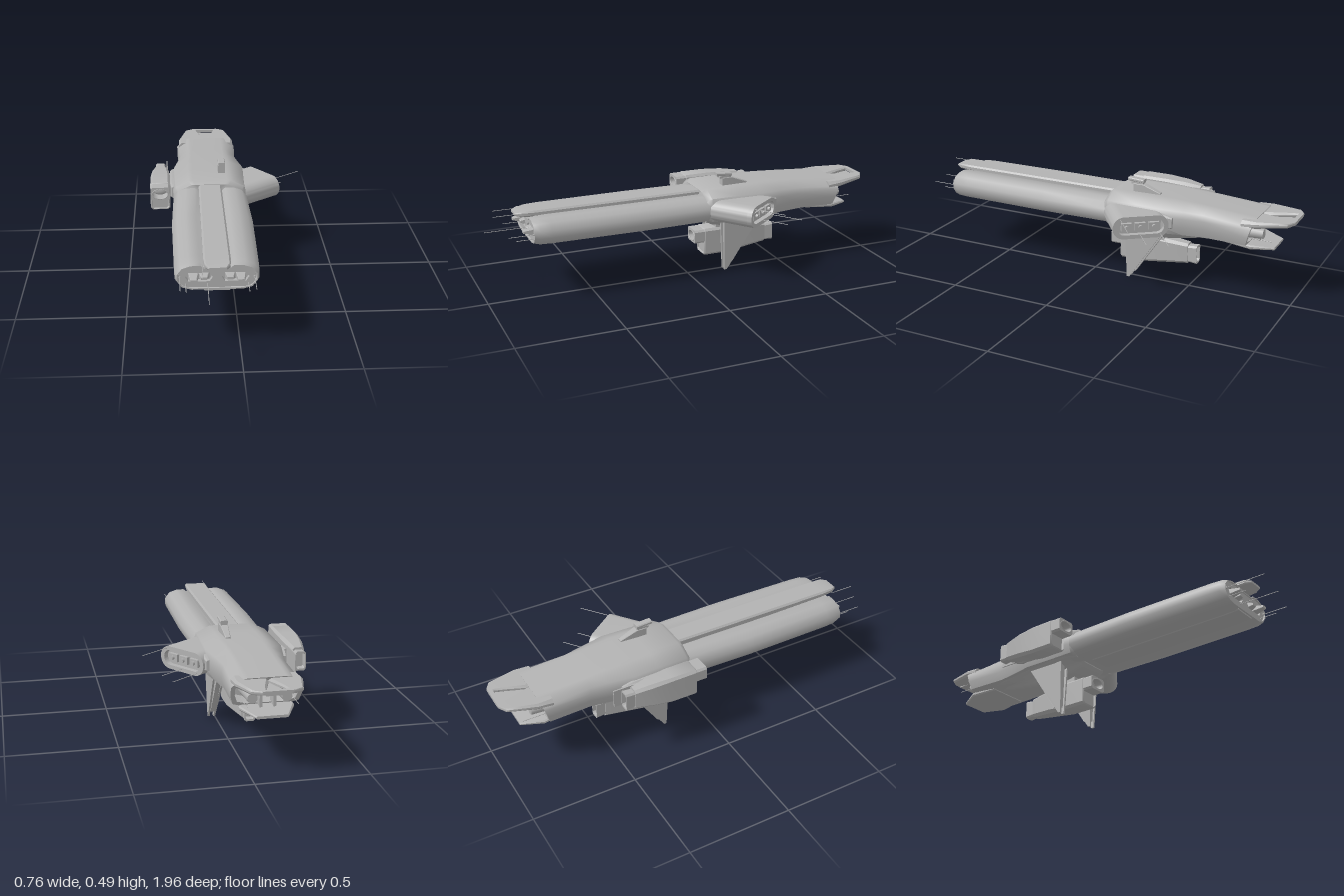
import * as THREE from 'three';
import { toCreasedNormals } from 'three/addons/utils/BufferGeometryUtils.js';

const grey = new THREE.MeshStandardMaterial({ color: 0xb2b2b2 });
grey.name = 'hull grey';

function add(parent, name, geo, x = 0, y = 0, z = 0) {
  const m = new THREE.Mesh(geo, grey);
  m.name = name;
  m.position.set(x, y, z);
  parent.add(m);
  return m;
}
const box = (p, name, w, h, d, x, y, z) => add(p, name, new THREE.BoxGeometry(w, h, d), x, y, z);
function rod(p, name, r, len, x, y, z, r2 = r, sides = 8) { // along z
  const g = new THREE.CylinderGeometry(r, r2, len, sides).rotateX(Math.PI / 2);
  return add(p, name, g, x, y, z);
}

// Mirrors a right-hand half outline (bottom to top) into a full ring; z may lean with y
function ring(half, z, sx = 1, sy = 1, lean = 0) {
  const mid = 0.33;
  const full = half.concat(half.slice().reverse().map(([x, y]) => [-x, y]));
  return full.map(([x, y]) => {
    const yy = mid + (y - mid) * sy;
    return new THREE.Vector3(x * sx, yy, z - (yy - 0.26) * lean);
  });
}

// Skins rings ordered front to back, closing both ends
function loft(rings, crease = 0.7) {
  const pos = [], n = rings[0].length;
  const tri = (...v) => v.forEach(p => pos.push(p.x, p.y, p.z));
  const centre = r => r.reduce((s, p) => s.add(p), new THREE.Vector3()).divideScalar(n);
  const c0 = centre(rings[0]), c1 = centre(rings.at(-1));
  for (let j = 0; j < n; j++) {
    const k = (j + 1) % n;
    tri(c0, rings[0][j], rings[0][k]);
    for (let i = 0; i + 1 < rings.length; i++) {
      const a = rings[i], b = rings[i + 1];
      tri(a[j], b[j], a[k]);
      tri(a[k], b[j], b[k]);
    }
    tri(c1, rings.at(-1)[k], rings.at(-1)[j]);
  }
  const g = new THREE.BufferGeometry();
  g.setAttribute('position', new THREE.Float32BufferAttribute(pos, 3));
  g.computeVertexNormals();
  return toCreasedNormals(g, crease);
}

// Chamfered rectangle half outline
const chamfer = (w, y0, y1, c) => [[w - c, y0], [w, y0 + c], [w, y1 - c], [w - c, y1]];

function stadium(w, h, Type = THREE.Shape) {
  const s = new Type(), r = h / 2, a = w / 2 - r;
  s.absarc(a, 0, r, -Math.PI / 2, Math.PI / 2, false);
  s.absarc(-a, 0, r, Math.PI / 2, Math.PI * 1.5, false);
  s.closePath();
  return s;
}
const extrude = (shape, depth) => toCreasedNormals(
  new THREE.ExtrudeGeometry(shape, { depth, bevelEnabled: false, curveSegments: 12 }), 0.5);

function forwardHull(g) {
  const half = [[0.115, 0.265], [0.158, 0.278], [0.181, 0.312], [0.181, 0.346],
    [0.158, 0.378], [0.12, 0.392], [0.075, 0.394], [0.06, 0.38]];
  add(g, 'forwardHull', loft([
    ring(half, 0.75, 0.9, 0.72), ring(half, 0.782, 0.92, 0.76), ring(half, 0.782, 0.94, 0.86),
    ring(half, 0.755, 0.985, 0.97), ring(half, 0.7), ring(half, 0.25, 1.04), ring(half, -0.1, 0.99)], 0.95));
  // Central spine, ending in a thin lip above the mouth
  add(g, 'spine', loft([
    ring(chamfer(0.038, 0.39, 0.401, 0.004), 0.838), ring(chamfer(0.054, 0.385, 0.408, 0.005), 0.81),
    ring(chamfer(0.058, 0.38, 0.409, 0.008), 0.75), ring(chamfer(0.056, 0.36, 0.408, 0.008), -0.1)]));
  add(g, 'keelStrip', loft([
    ring(chamfer(0.058, 0.266, 0.29, 0.005), 0.775), ring(chamfer(0.06, 0.262, 0.29, 0.005), 0.72),
    ring(chamfer(0.06, 0.261, 0.29, 0.005), -0.05)]));
  // Mouth plate with two six-sided openings
  const plate = stadium(0.325, 0.092);
  for (const s of [-1, 1]) {
    const h = new THREE.Path();
    [[-0.058, 0], [-0.045, 0.02], [0.045, 0.02], [0.058, 0], [0.045, -0.02], [-0.045, -0.02]]
      .forEach(([x, y], i) => h[i ? 'lineTo' : 'moveTo'](x + s * 0.077, y));
    h.closePath();
    plate.holes.push(h);
  }
  add(g, 'mouthPlate', extrude(plate, 0.022), 0, 0.33, 0.755);
  for (const s of [-1, 1]) {
    // Paired wedges in each opening, the outer one longer
    for (const [x, tip] of [[0.1, 0.82], [0.055, 0.795]]) {
      add(g, 'launcherWedge', loft([
        ring(chamfer(0.013, 0.325, 0.337, 0.002), tip), ring(chamfer(0.022, 0.315, 0.346, 0.003), 0.76),
        ring(chamfer(0.022, 0.315, 0.346, 0.003), 0.74)], 0.5), s * x);
    }
    rod(g, 'sideLamp', 0.005, 0.02, s * 0.157, 0.33, 0.775);
    rod(g, 'longAntenna', 0.0015, 0.16, s * 0.157, 0.33, 0.82);
    rod(g, 'shortAntenna', 0.0015, 0.12, s * 0.132, 0.3, 0.80);
  }
  rod(g, 'noseAntenna', 0.0015, 0.2, -0.04, 0.3, 0.87);
  rod(g, 'noseAntenna', 0.0015, 0.12, -0.064, 0.393, 0.86);
}

function aftHull(g) {
  const hull = (w, tw, top, bot) => [[w * 0.6, bot], [w * 0.92, bot + 0.015], [w, 0.315], [w, 0.355],
    [w * 0.94, top - 0.032], [tw, top - 0.001], [tw * 0.8, top]];
  const tail = hull(0.157, 0.1, 0.397, 0.26);
  add(g, 'aftHull', loft([
    ring(hull(0.168, 0.09, 0.41, 0.265), -0.078), ring(hull(0.18, 0.105, 0.424, 0.26), -0.1),
    ring(hull(0.183, 0.105, 0.425, 0.258), -0.25), ring(hull(0.187, 0.105, 0.424, 0.258), -0.37),
    ring(hull(0.165, 0.1, 0.42, 0.258), -0.48), ring(hull(0.148, 0.1, 0.414, 0.259), -0.58),
    ring(tail, -0.78, 1, 1, 0.3), ring(tail, -0.78, 0.88, 0.8, 0.3), ring(tail, -0.7, 0.85, 0.75)], 0.95));
  // Upper tail shelf in two halves around a notch, with a sunken floor and a rear bridge
  const halfShelf = (s, x0, x1, y0, y1, c, z) =>
    ring(chamfer((x1 - x0) / 2, y0, y1, c), z).map(p => p.setX(p.x + s * (x0 + x1) / 2));
  for (const s of [-1, 1]) {
    add(g, 'upperShelf', loft([
      halfShelf(s, 0, 0.148, 0.35, 0.392, 0.015, -0.76), halfShelf(s, 0.002, 0.147, 0.362, 0.393, 0.01, -0.83),
      halfShelf(s, 0.03, 0.125, 0.37, 0.395, 0.008, -0.91), halfShelf(s, 0.045, 0.11, 0.376, 0.396, 0.006, -0.965),
      halfShelf(s, 0.045, 0.07, 0.381, 0.396, 0.004, -0.99)]));
  }
  box(g, 'notchFloor', 0.1, 0.006, 0.16, 0, 0.373, -0.895);
  box(g, 'rearBridge', 0.1, 0.016, 0.02, 0, 0.388, -0.98);
  add(g, 'lowerShelf', loft([
    ring(chamfer(0.1, 0.255, 0.275, 0.006), -0.66), ring(chamfer(0.12, 0.248, 0.268, 0.006), -0.8),
    ring(chamfer(0.07, 0.244, 0.256, 0.004), -0.9)]));
  for (const s of [-1, 1]) {
    rod(g, 'engineNozzle', 0.03, 0.14, s * 0.075, 0.318, -0.78, 0.022, 16);
    rod(g, 'tailAntenna', 0.0015, 0.12, s * 0.11, 0.3, -0.84);
    box(g, 'tailStrut', 0.012, 0.11, 0.06, s * 0.03, 0.32, -0.79);
    // Collar blocks on the flanks
    add(g, 'flankCollar', loft([
      ring(chamfer(0.01, 0.305, 0.365, 0.006), -0.17), ring(chamfer(0.02, 0.295, 0.375, 0.01), -0.21),
      ring(chamfer(0.02, 0.295, 0.375, 0.01), -0.39), ring(chamfer(0.008, 0.31, 0.36, 0.004), -0.44)]),
      s * 0.178);
  }
  // Belly fairing
  const belly = (w, y) => [[w * 0.4, y], [w * 0.54, y + (0.275 - y) * 0.25],
    [w * 0.65, y + (0.275 - y) * 0.6], [w * 0.92, 0.265], [w, 0.275]];
  add(g, 'belly', loft([
    ring(belly(0.14, 0.258), -0.09), ring(belly(0.158, 0.225), -0.14), ring(belly(0.165, 0.209), -0.22),
    ring(belly(0.16, 0.21), -0.38), ring(belly(0.14, 0.23), -0.5), ring(belly(0.12, 0.257), -0.64)], 0.95));
}

function sensorMast(g) {
  const m = new THREE.Group();
  m.name = 'sensorMast';
  m.position.set(0.062, 0, 0);
  g.add(m);
  add(m, 'mastPost', loft([
    ring(chamfer(0.018, 0.415, 0.463, 0.002), -0.195), ring(chamfer(0.018, 0.415, 0.463, 0.002), -0.245),
    ring(chamfer(0.012, 0.41, 0.43, 0.003), -0.33)]));
  box(m, 'mastNeck', 0.03, 0.012, 0.06, 0, 0.466, -0.212);
  add(m, 'mastHead', loft([
    ring(chamfer(0.017, 0.474, 0.49, 0.004), -0.165), ring(chamfer(0.017, 0.468, 0.485, 0.004), -0.245)]));
}

// Engine pod with an intake box over a plain lower block; origin at its bottom
function enginePod(g, name, x, y, end) {
  const p = new THREE.Group();
  p.name = name;
  p.position.set(x, y, 0);
  g.add(p);
  add(p, 'podBody', loft([
    ring(chamfer(0.04, 0.008, 0.132, 0.008), -0.122), ring(chamfer(0.043, 0.005, 0.135, 0.01), -0.112),
    ring(chamfer(0.049, 0, 0.139, 0.011), -0.118), ring(chamfer(0.049, 0, 0.139, 0.012), -0.24),
    ring(chamfer(0.042, 0.01, 0.134, 0.014), -0.34), ring(chamfer(0.028, 0.022, 0.122, 0.012), end)]));
  add(p, 'podNozzle', loft([
    ring(chamfer(0.022, 0.03, 0.11, 0.008), end + 0.02), ring(chamfer(0.025, 0.025, 0.116, 0.008), end - 0.045),
    ring(chamfer(0.02, 0.034, 0.107, 0.006), end - 0.045), ring(chamfer(0.018, 0.036, 0.105, 0.006), end - 0.015)]));
  const face = new THREE.Shape();
  [[-0.038, -0.034], [0.038, -0.034], [0.047, -0.025], [0.047, 0.025], [0.038, 0.034], [-0.038, 0.034],
    [-0.047, 0.025], [-0.047, -0.025]].forEach(([u, v], i) => face[i ? 'lineTo' : 'moveTo'](u, v));
  face.closePath();
  face.holes.push(new THREE.Path().absellipse(0, 0, 0.038, 0.024, 0, Math.PI * 2, true));
  add(p, 'intakeBox', extrude(face, 0.055), 0, 0.102, -0.118);
  add(p, 'intakeRim', new THREE.TorusGeometry(0.036, 0.003, 8, 28).scale(1.08, 0.7, 1), 0, 0.102, -0.064);
  add(p, 'intakeLens', new THREE.SphereGeometry(0.02, 20, 12).scale(1.6, 0.95, 0.4), 0, 0.102, -0.108);
}

function fins(g) {
  const outline = low => {
    const t = low / 0.27;
    return new THREE.Shape([[0.18, 0.275], [0.385, 0.275], [0.2 + 0.18 * t, low], [0.187, low]]
      .map(([a, b]) => new THREE.Vector2(a, b)));
  };
  const plate = (low, thick, spread) => {
    const geo = new THREE.ExtrudeGeometry(outline(low), { depth: thick, bevelEnabled: false });
    geo.rotateY(Math.PI / 2).translate(-thick / 2, 0, 0);
    const a = geo.attributes.position;
    for (let i = 0; i < a.count; i++) a.setX(i, a.getX(i) + spread * (0.013 + a.getY(i) * 0.04));
    geo.computeVertexNormals();
    return geo;
  };
  for (const s of [-1, 1]) {
    for (const e of [-1, 1]) add(g, 'finBlade', plate(0, 0.009, e), s * 0.113);
    add(g, 'finCore', plate(0.035, 0.022, 0), s * 0.113, 0, -0.008);
  }
}

// Side battery, angled outward and back
function battery(root) {
  const b = new THREE.Group();
  b.name = 'sideBattery';
  b.position.set(0.18, 0.329, -0.325);
  b.rotation.y = Math.atan2(0.8, -0.6);
  root.add(b);
  add(b, 'batteryBody', extrude(stadium(0.264, 0.108), 0.225), 0, 0, -0.25);
  const rim = stadium(0.264, 0.108);
  rim.holes.push(stadium(0.222, 0.07, THREE.Path));
  add(b, 'batteryRim', extrude(rim, 0.025), 0, 0, -0.025);
  for (const i of [-1, 0, 1]) {
    box(b, 'batteryCell', 0.05, 0.036, 0.018, i * 0.064, 0, -0.018);
    rod(b, 'batteryBarrel', 0.01, 0.03, i * 0.064, 0, -0.012);
    rod(b, 'batteryAntenna', 0.0015, i ? 0.18 : 0.14, i * 0.095, i < 0 ? 0.042 : -0.039, i ? 0.07 : 0.06);
  }
}

export function createModel() {
  const root = new THREE.Group();
  root.name = 'spaceship';
  const hull = new THREE.Group();
  hull.name = 'hull';
  hull.position.x = -0.098;
  root.add(hull);
  forwardHull(hull);
  aftHull(hull);
  sensorMast(hull);
  fins(hull);
  // Engine pods with their pylons
  box(hull, 'bellyPylon', 0.075, 0.05, 0.16, 0, 0.205, -0.26);
  enginePod(hull, 'bellyPod', 0, 0.056, -0.46);
  box(hull, 'sidePylon', 0.06, 0.065, 0.16, -0.21, 0.335, -0.28);
  enginePod(hull, 'sidePod', -0.245, 0.268, -0.42);
  box(hull, 'sidePodFin', 0.006, 0.09, 0.14, -0.212, 0.338, -0.43);
  battery(root);
  return root;
}
